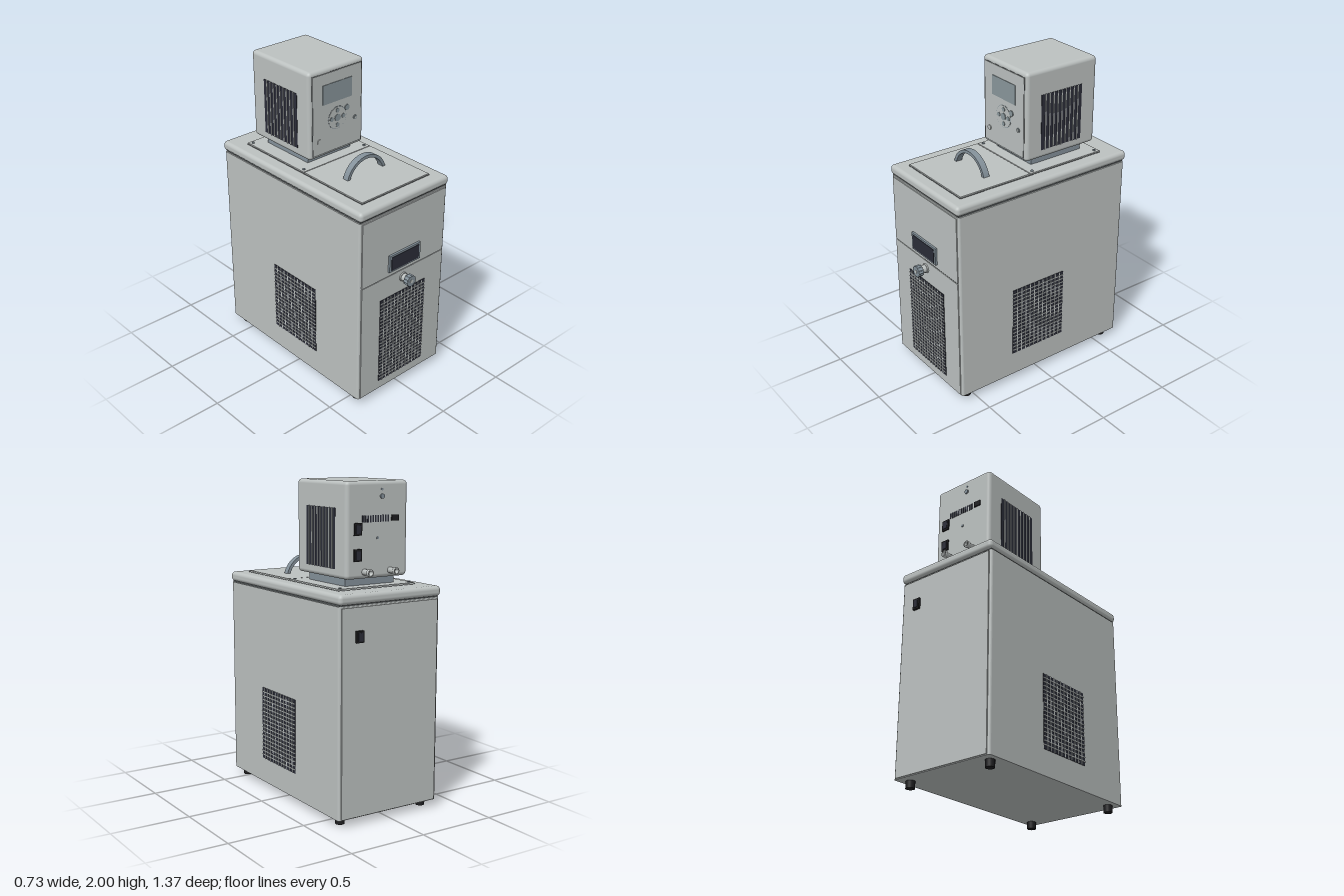
import * as THREE from 'three';
import { RoundedBoxGeometry } from 'three/addons/geometries/RoundedBoxGeometry.js';

const mat = (name, color) => Object.assign(new THREE.MeshStandardMaterial({ color }), { name });

export function createModel() {
  const casing = mat('casing grey', 0xbcc1c0);
  const steel = mat('blue grey', 0x84919a);
  const screen = mat('screen grey', 0x8a979c);
  const dark = mat('vent dark', 0x2b2d38);
  const black = mat('black plastic', 0x1d1d1f);
  const seam = mat('seam grey', 0x5c6163);

  const root = new THREE.Group();
  const add = (name, geo, m, x = 0, y = 0, z = 0, parent = root) => {
    const mesh = new THREE.Mesh(geo, m);
    mesh.name = name;
    mesh.position.set(x, y, z);
    parent.add(mesh);
    return mesh;
  };
  // Box given by its limits on each axis
  const box = (name, m, [x0, x1], [y0, y1], [z0, z1], r = 0, parent = root) => {
    const s = [x1 - x0, y1 - y0, z1 - z0];
    const geo = r ? new RoundedBoxGeometry(...s, 4, r) : new THREE.BoxGeometry(...s);
    return add(name, geo, m, (x0 + x1) / 2, (y0 + y1) / 2, (z0 + z1) / 2, parent);
  };
  // Disc or rod along z
  const rod = (name, m, r, x, y, z0, z1, parent = root) => {
    const geo = new THREE.CylinderGeometry(r, r, z1 - z0, 32).rotateX(Math.PI / 2);
    return add(name, geo, m, x, y, (z0 + z1) / 2, parent);
  };
  const group = (name, x = 0, y = 0, z = 0, turn = 0) => {
    const g = new THREE.Group();
    g.name = name;
    g.position.set(x, y, z);
    g.rotation.y = turn;
    root.add(g);
    return g;
  };
  // Ventilation panel facing local +z: dark backing behind a lattice of bars
  const grille = (name, w, h, rows, cols, bar, place) => {
    const g = group(name, ...place);
    box('ventBacking', dark, [-w / 2, w / 2], [-h / 2, h / 2], [-0.002, 0.003], 0, g);
    for (let i = 1; i < rows; i++) {
      const y = -h / 2 + (h * i) / rows;
      box('crossBar', casing, [-w / 2, w / 2], [y - bar / 2, y + bar / 2], [0.002, 0.006], 0, g);
    }
    for (let i = 1; i < cols; i++) {
      const x = -w / 2 + (w * i) / cols;
      box('uprightBar', casing, [x - bar / 2, x + bar / 2], [-h / 2, h / 2], [0.002, 0.006], 0, g);
    }
  };

  // Cabinet with rounded upright corners
  const outline = new THREE.Shape();
  const X = 0.36, Z = 0.633, r = 0.015;
  outline.moveTo(X, -Z + r);
  outline.absarc(X - r, Z - r, r, 0, Math.PI / 2);
  outline.absarc(-X + r, Z - r, r, Math.PI / 2, Math.PI);
  outline.absarc(-X + r, -Z + r, r, Math.PI, Math.PI * 1.5);
  outline.absarc(X - r, -Z + r, r, Math.PI * 1.5, Math.PI * 2);
  const cabinetGeo = new THREE.ExtrudeGeometry(outline, { depth: 1.265, bevelEnabled: false, curveSegments: 6 });
  add('cabinet', cabinetGeo.rotateX(-Math.PI / 2), casing, 0, 0.045, -0.028);
  box('lidGap', seam, [-0.352, 0.352], [1.305, 1.32], [-0.655, 0.6]);
  box('lid', casing, [-0.364, 0.364], [1.316, 1.378], [-0.676, 0.616], 0.024);
  box('upperFrontPanel', casing, [-0.343, 0.343], [0.868, 1.3], [0.6, 0.611]);
  box('lowerFrontPanel', casing, [-0.343, 0.343], [0.05, 0.862], [0.6, 0.611]);
  box('panelSeam', seam, [-0.335, 0.335], [0.86, 0.87], [0.6, 0.607]);
  box('backPanel', casing, [-0.343, 0.343], [0.05, 1.3], [-0.668, -0.655]);

  // Feet
  for (const x of [-0.3, 0.3])
    for (const z of [-0.585, 0.535])
      add('foot', new THREE.CylinderGeometry(0.028, 0.028, 0.048, 24), black, x, 0.024, z);

  // Front readout and drain knob
  box('readoutFrame', steel, [-0.13, 0.13], [0.895, 1.01], [0.605, 0.624]);
  box('readoutWindow', dark, [-0.115, 0.115], [0.905, 0.998], [0.62, 0.627]);
  rod('drainCollar', casing, 0.03, 0, 0.81, 0.605, 0.62);
  rod('drainStem', casing, 0.025, 0, 0.81, 0.61, 0.655);
  const flutes = new THREE.Shape();
  for (let i = 0; i <= 72; i++) {
    const a = (i / 72) * Math.PI * 2, k = 0.0355 + 0.002 * Math.cos(a * 12);
    flutes[i ? 'lineTo' : 'moveTo'](k * Math.cos(a), k * Math.sin(a));
  }
  add('drainKnob', new THREE.ExtrudeGeometry(flutes, { depth: 0.034, bevelEnabled: false }), steel, 0, 0.81, 0.65);
  rod('drainKnobCap', casing, 0.012, 0, 0.81, 0.68, 0.687);

  // Cabinet ventilation
  grille('frontGrille', 0.38, 0.605, 25, 13, 0.0065, [0, 0.4125, 0.612]);
  for (const s of [-1, 1])
    grille('sideGrille', 0.4, 0.47, 18, 12, 0.0065, [s * 0.36, 0.44, 0.015, s * Math.PI / 2]);

  // Rear cabinet switch
  box('rearSwitchFrame', black, [0.2, 0.25], [1.095, 1.165], [-0.682, -0.66]);
  box('rearSwitchKey', dark, [0.21, 0.24], [1.105, 1.155], [-0.686, -0.68]);

  // Cover plates on the lid, with a dark seam beneath
  box('coverSeam', seam, [-0.277, 0.277], [1.37, 1.38], [-0.533, 0.533]);
  box('rearCoverPlate', casing, [-0.273, 0.273], [1.37, 1.388], [-0.529, 0.017]);
  box('bathCover', casing, [-0.273, 0.273], [1.37, 1.388], [0.023, 0.529]);
  for (const x of [-0.25, 0.25])
    for (const z of [-0.505, -0.01])
      add('coverScrew', new THREE.CylinderGeometry(0.009, 0.009, 0.006, 16), steel, x, 1.39, z);

  // Arched lid handle
  const arch = new THREE.Shape();
  const a0 = 0.253;
  arch.absarc(0, 0, 0.16, a0, Math.PI - a0);
  arch.absarc(0, 0, 0.14, Math.PI - a0, a0, true);
  add('lidHandle', new THREE.ExtrudeGeometry(arch, { depth: 0.042, bevelEnabled: false, curveSegments: 32 }), steel, 0, 1.345, 0.237);

  // Control head on its neck
  box('headNeck', steel, [-0.175, 0.175], [1.38, 1.45], [-0.45, -0.06]);
  box('controlHead', casing, [-0.219, 0.219], [1.435, 2], [-0.525, 0.01], 0.024);
  box('headPanelEdge', seam, [-0.197, 0.197], [1.455, 1.973], [0.005, 0.0115]);
  box('headPanel', casing, [-0.194, 0.194], [1.462, 1.97], [0.005, 0.0145]);
  box('headDisplay', screen, [-0.116, 0.116], [1.775, 1.9], [0.01, 0.018]);

  // Keypad
  rod('keypadRim', steel, 0.073, 0, 1.665, 0.01, 0.0155);
  rod('keypadDisc', casing, 0.07, 0, 1.665, 0.01, 0.017);
  rod('centreKey', screen, 0.023, 0, 1.665, 0.012, 0.021);
  for (let i = 0; i < 4; i++) {
    const a = (i * Math.PI) / 2;
    rod('arrowKey', screen, 0.014, 0.047 * Math.cos(a), 1.665 + 0.047 * Math.sin(a), 0.012, 0.02);
  }
  rod('menuKey', screen, 0.018, 0.077, 1.71, 0.01, 0.02);
  rod('sideKey', screen, 0.014, 0.145, 1.625, 0.01, 0.02);
  rod('sideKeyCap', casing, 0.008, 0.145, 1.625, 0.018, 0.022);
  rod('powerKey', casing, 0.016, -0.145, 1.545, 0.01, 0.02);

  // Head side vents with upright fins
  for (const s of [-1, 1]) {
    const vent = group('headVent', s * 0.219, 1.667, -0.255, s * Math.PI / 2);
    box('ventBacking', dark, [-0.155, 0.155], [-0.178, 0.178], [-0.002, 0.002], 0, vent);
    for (let i = 1; i < 10; i++) {
      const x = -0.155 + 0.031 * i;
      box('ventFin', casing, [x - 0.003, x + 0.003], [-0.178, 0.178], [0.001, 0.006], 0, vent);
    }
  }

  // Head rear: switches, slots, socket, screws
  for (const y of [1.575, 1.725]) {
    box('powerInlet', black, [0.115, 0.168], [y - 0.036, y + 0.036], [-0.534, -0.52]);
    box('powerInletKey', dark, [0.125, 0.158], [y - 0.024, y + 0.024], [-0.538, -0.53]);
  }
  for (let i = 0; i < 11; i++) {
    const x = 0.105 - i * 0.018;
    box('rearSlot', dark, [x - 0.005, x + 0.005], [1.762, 1.802], [-0.528, -0.522]);
  }
  box('signalSocket', black, [-0.148, -0.098], [1.765, 1.8], [-0.533, -0.52]);
  rod('rearSensorPort', steel, 0.014, -0.03, 1.91, -0.534, -0.52);
  rod('rearScrew', steel, 0.007, -0.03, 1.95, -0.529, -0.52);
  rod('rearScrew', steel, 0.008, 0, 1.67, -0.53, -0.52);

  // Hose connectors with flared ends
  const hose = [[0, 0], [0.019, 0], [0.017, 0.045], [0.022, 0.052], [0.022, 0.066], [0.012, 0.066], [0.012, 0.05], [0, 0.05]]
    .map(([a, b]) => new THREE.Vector2(a, b));
  for (const x of [-0.092, 0.092])
    add('hoseConnector', new THREE.LatheGeometry(hose, 24).rotateX(-Math.PI / 2), casing, x, 1.475, -0.523);

  return root;
}
